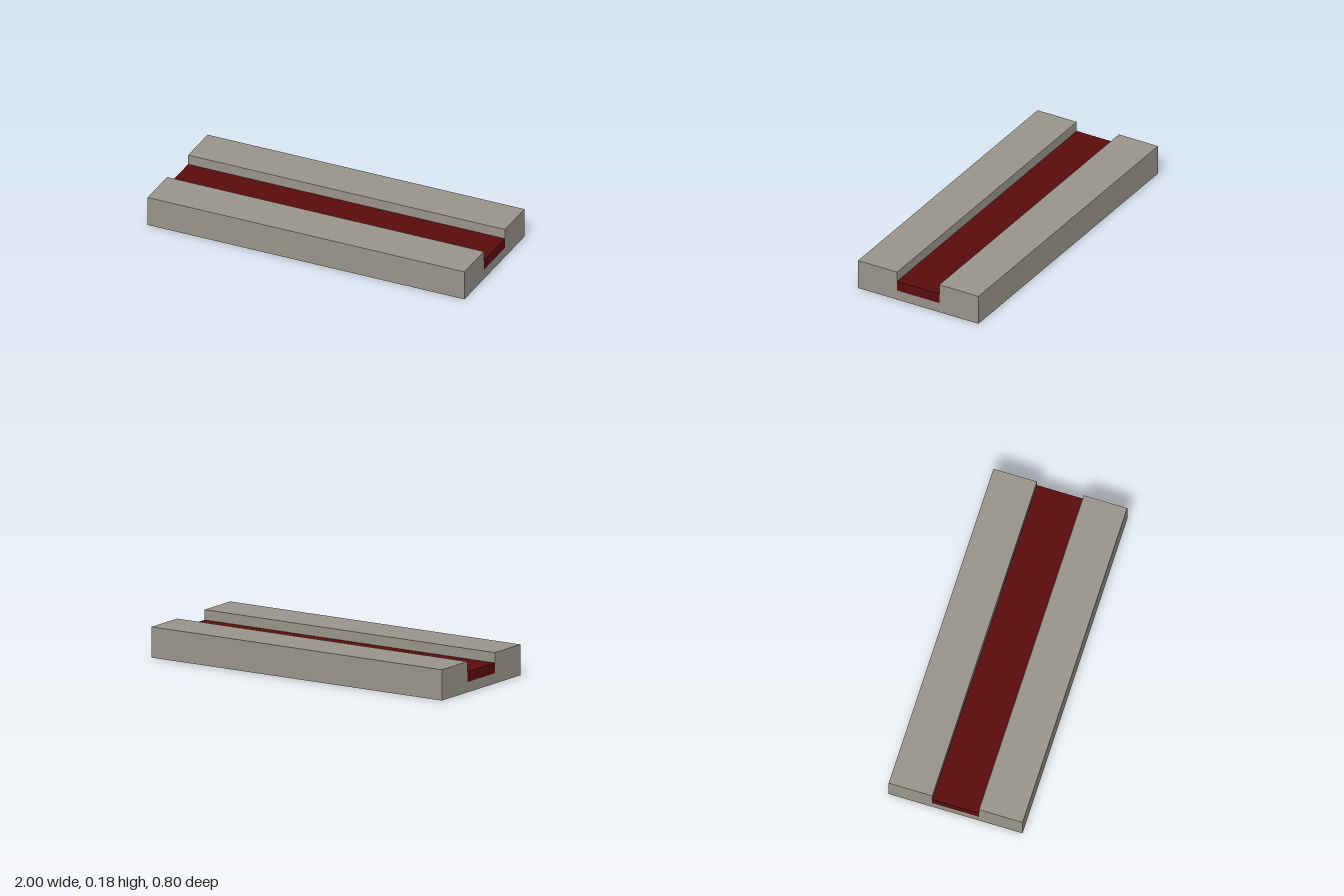
import * as THREE from 'three';

const LENGTH = 2, HALF_WIDTH = 0.4, HEIGHT = 0.18;
const GROOVE_HALF = 0.14, GROOVE_FLOOR = 0.06, INLAY_TOP = 0.12;

export function createModel() {
  const stone = new THREE.MeshStandardMaterial({ color: 0x99958c });
  stone.name = 'warm grey stone';
  const red = new THREE.MeshStandardMaterial({ color: 0x5a0c0c });
  red.name = 'dark red';

  const model = new THREE.Group();
  model.name = 'groovedSlab';

  // Slab with a groove along its length: U-shaped section extruded along x
  const section = new THREE.Shape([
    [-HALF_WIDTH, 0], [HALF_WIDTH, 0], [HALF_WIDTH, HEIGHT], [GROOVE_HALF, HEIGHT],
    [GROOVE_HALF, GROOVE_FLOOR], [-GROOVE_HALF, GROOVE_FLOOR],
    [-GROOVE_HALF, HEIGHT], [-HALF_WIDTH, HEIGHT],
  ].map(([x, y]) => new THREE.Vector2(x, y)));
  const slabGeometry = new THREE.ExtrudeGeometry(section, { depth: LENGTH, bevelEnabled: false });
  slabGeometry.translate(0, 0, -LENGTH / 2).rotateY(Math.PI / 2);
  const slab = new THREE.Mesh(slabGeometry, stone);
  slab.name = 'slab';
  model.add(slab);

  // Red strip lying in the groove
  const thickness = INLAY_TOP - GROOVE_FLOOR;
  const inlay = new THREE.Mesh(new THREE.BoxGeometry(LENGTH, thickness, GROOVE_HALF * 2), red);
  inlay.name = 'grooveInlay';
  inlay.position.y = GROOVE_FLOOR + thickness / 2;
  model.add(inlay);

  return model;
}
